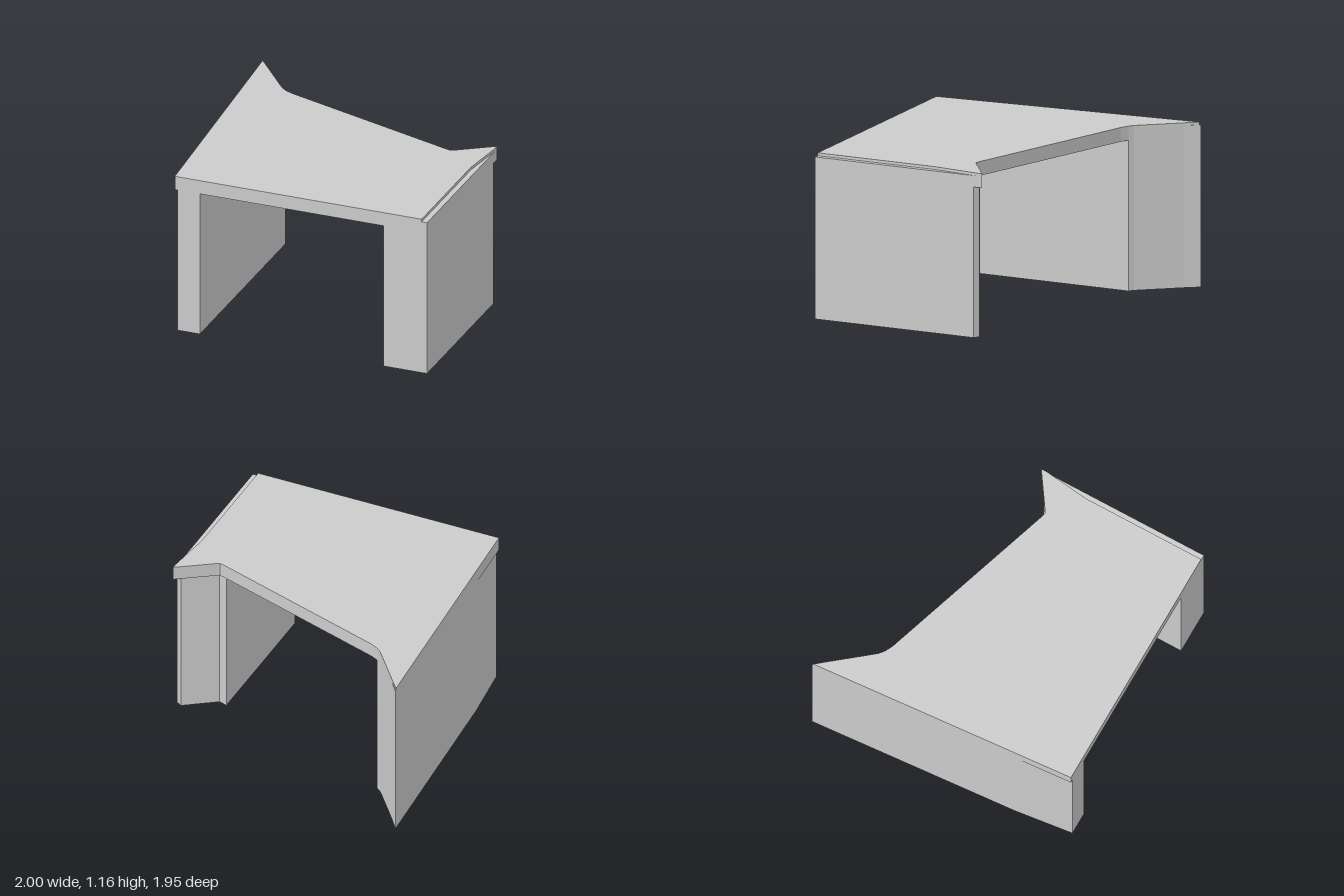
import * as THREE from 'three';

const material = new THREE.MeshStandardMaterial({ color: 0xcccccc });

// Upright prism from a plan outline of [x, z] points, between two heights
function prism(name, outline, bottom, top) {
  const shape = new THREE.Shape(outline.map(([x, z]) => new THREE.Vector2(x, -z)));
  const geometry = new THREE.ExtrudeGeometry(shape, { depth: top - bottom, bevelEnabled: false });
  geometry.rotateX(-Math.PI / 2);
  geometry.translate(0, bottom, 0);
  const mesh = new THREE.Mesh(geometry, material);
  mesh.name = name;
  return mesh;
}

export function createModel() {
  const group = new THREE.Group();
  group.name = 'culvertPortal';

  const front = 0.975, wallTop = 1.06, slabTop = 1.14, deckTop = 1.16;

  // Flared rear edge of the long wing, shared by wall and roof
  const flare = [[-0.93, -0.88], [-0.74, -0.645], [-0.71, -0.61], [-0.675, -0.582]];
  // Slanted rear edge of the roof, from the flare to the short wing
  const rearEdge = [...flare, [-0.62, -0.555], [0.69, -0.13], [0.73, -0.12], [0.75, -0.13]];

  // Side walls
  group.add(prism('rightWall', [
    [-1, -0.975], ...flare, [-0.675, front], [-0.84, front], [-0.89, 0.55],
  ], 0, wallTop));
  group.add(prism('leftWall', [
    [0.68, front], [0.68, -0.125], [0.74, -0.105], [0.96, -0.26], [1, -0.235], [1, front],
  ], 0, wallTop));

  // Roof slab, overhanging the walls at the corners
  group.add(prism('roofSlab', [
    [-1, -0.975], ...rearEdge, [1, -0.3], [1, front], [-0.86, front],
  ], wallTop, slabTop));

  // Thin top layer, set back along the left edge
  group.add(prism('roofDeck', [
    [-1, -0.965], ...rearEdge, [1, -0.3], [1, -0.26], [0.96, 0.08], [0.96, front], [-0.86, front],
  ], slabTop, deckTop));

  return group;
}
